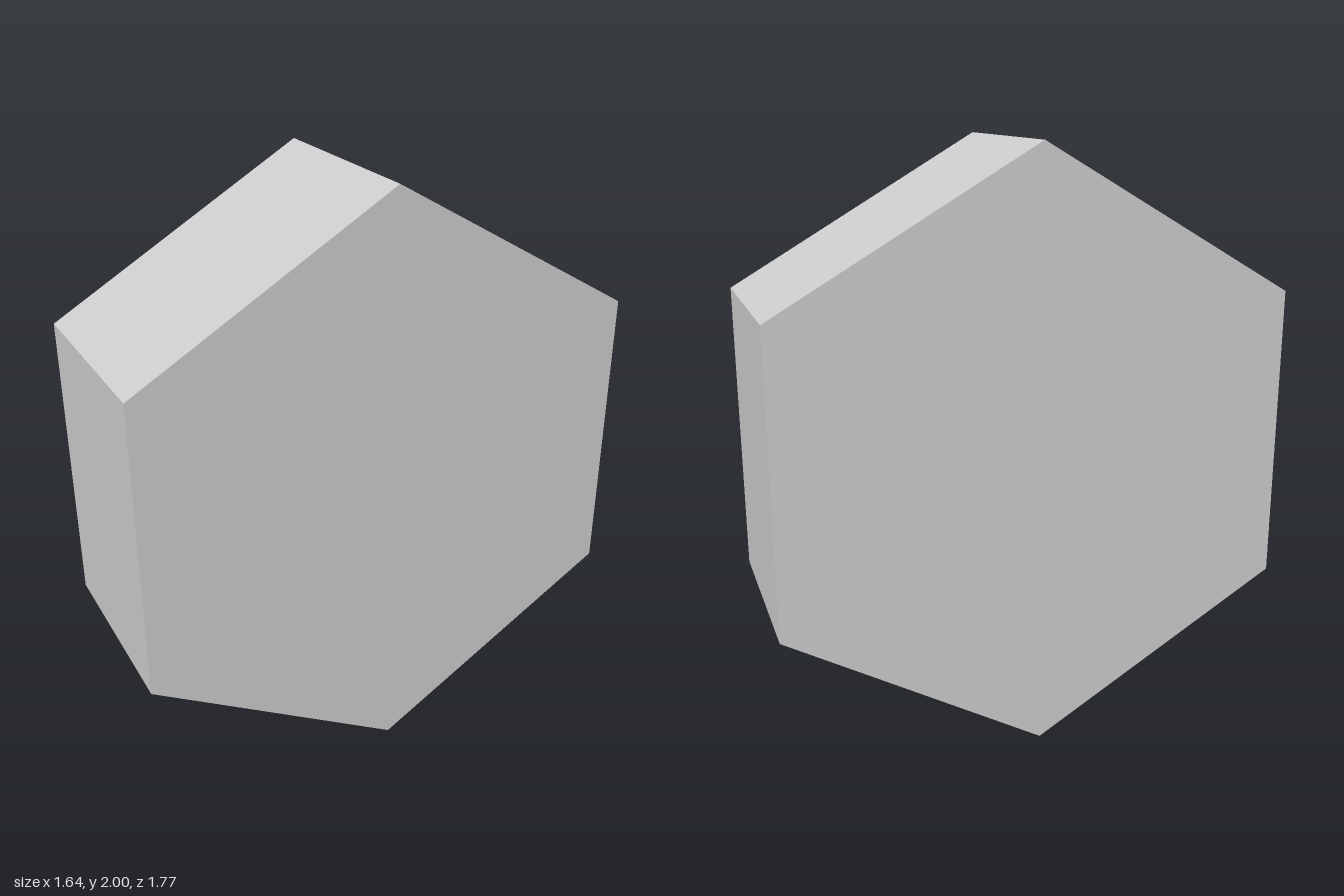
import * as THREE from 'three';

export function createModel() {
  const group = new THREE.Group();
  group.name = 'hexagonalPrism';

  const grey = new THREE.MeshStandardMaterial({ color: 0xcccccc, flatShading: true });
  grey.name = 'light grey';

  // Six-sided prism standing on one corner, its axis level and turned 50 degrees
  const geometry = new THREE.CylinderGeometry(1, 1, 0.69, 6);
  geometry.rotateX(-Math.PI / 2);
  geometry.rotateY(THREE.MathUtils.degToRad(50));
  geometry.translate(0, 1, 0);

  const prism = new THREE.Mesh(geometry, grey);
  prism.name = 'prismBody';
  group.add(prism);
  return group;
}
